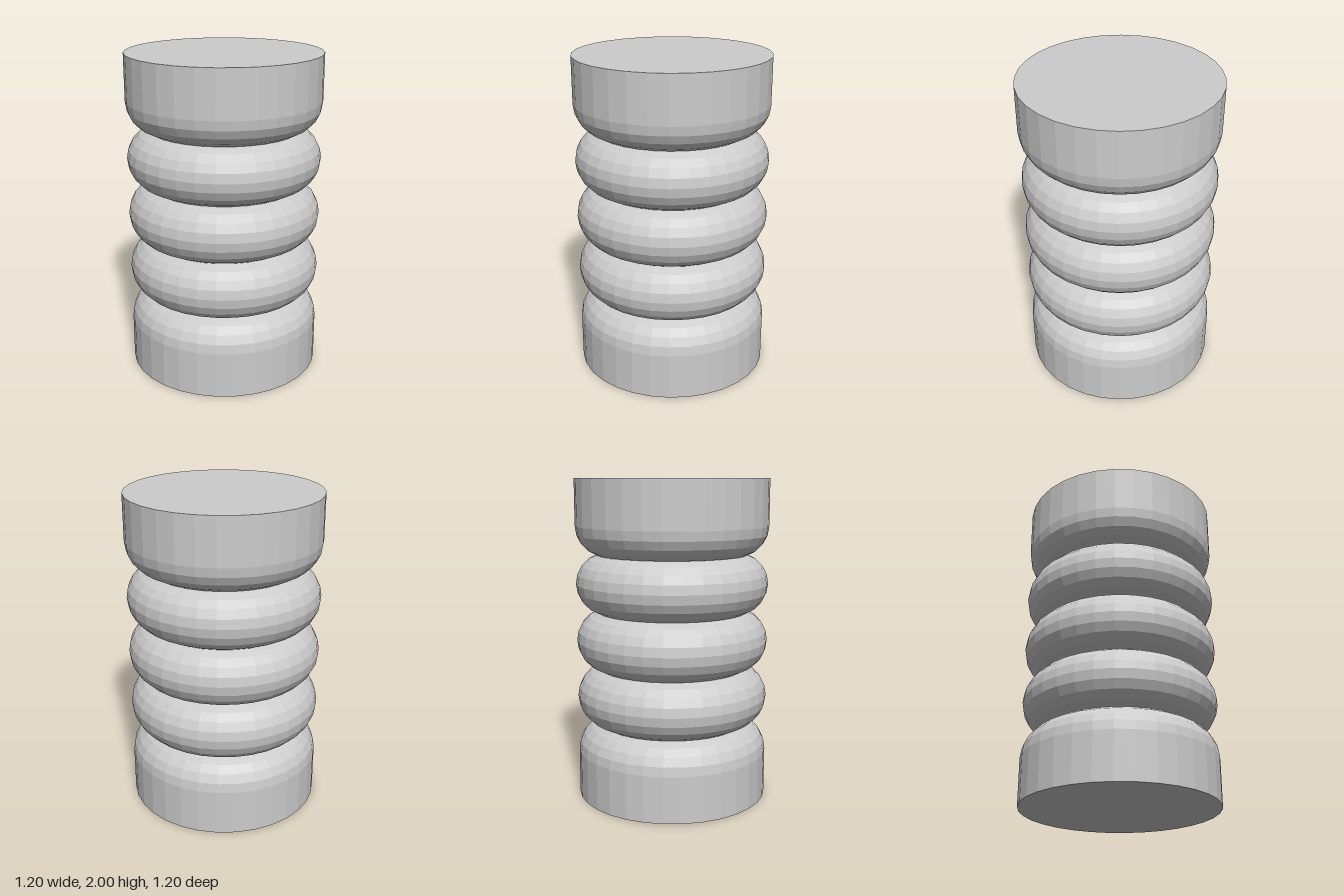
import * as THREE from 'three';

const SIDES = 32;
const RADIUS = 0.6;    // outer radius of ends and rings
const PITCH = 0.3555;  // spacing of the rings
const BULGE = 0.185;   // radius of each rounded cross-section
const GROOVE = 0.46;   // radius at the bottom of the grooves

// Quarter of a rounded rim, from its widest point to the groove (dir 1 = up, -1 = down)
function rim(centreY, dir) {
  const points = [];
  for (let i = 0; i <= 4; i++) {
    const a = i * Math.PI / 10;
    points.push(new THREE.Vector2(RADIUS - BULGE + BULGE * Math.cos(a), centreY + dir * BULGE * Math.sin(a)));
  }
  points.push(new THREE.Vector2(GROOVE, centreY + dir * PITCH / 2));
  return points;
}

export function createModel() {
  const group = new THREE.Group();
  group.name = 'ribbedColumn';
  const grey = new THREE.MeshStandardMaterial({ color: 0xcccccc });
  grey.name = 'light grey';
  grey.flatShading = true;

  const add = (name, profile) => {
    const mesh = new THREE.Mesh(new THREE.LatheGeometry(profile, SIDES), grey);
    mesh.name = name;
    group.add(mesh);
  };

  // Plain bottom end with a rounded upper rim
  add('bottomEnd', [
    new THREE.Vector2(0, 0),
    new THREE.Vector2(RADIUS, 0),
    ...rim(1 - 2 * PITCH, 1),
  ]);

  // Three bulging rings
  for (let i = -1; i <= 1; i++) {
    const y = 1 + i * PITCH;
    add('ring' + (i + 2), [...rim(y, -1).reverse(), ...rim(y, 1).slice(1)]);
  }

  // Plain top end with a rounded lower rim
  add('topEnd', [
    ...rim(1 + 2 * PITCH, -1).reverse(),
    new THREE.Vector2(RADIUS, 2),
    new THREE.Vector2(0, 2),
  ]);

  return group;
}
